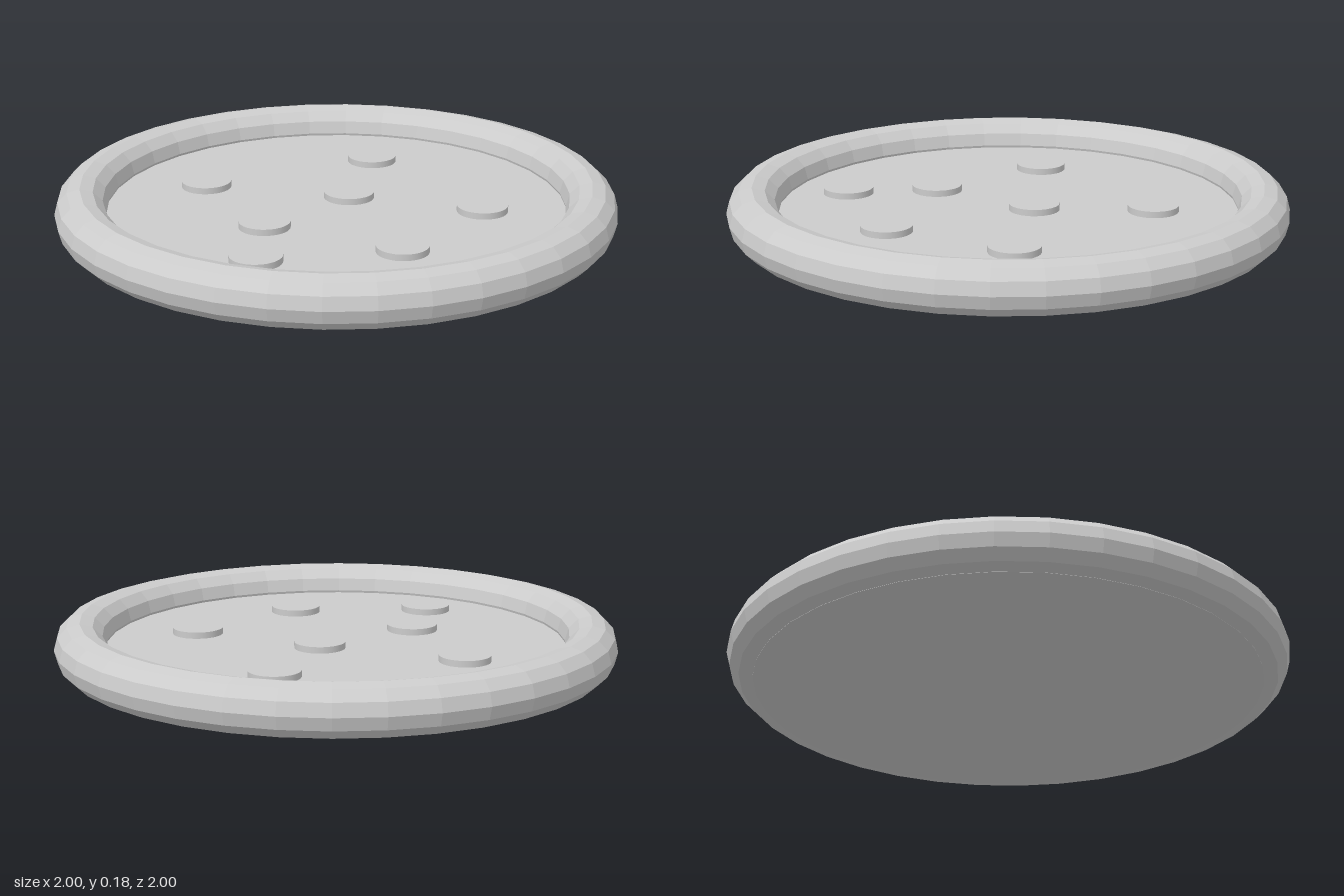
import * as THREE from 'three';

export function createModel() {
  const group = new THREE.Group();
  const faceted = new THREE.MeshStandardMaterial({ color: 0xcccccc, flatShading: true });
  const smooth = new THREE.MeshStandardMaterial({ color: 0xcccccc });

  const add = (name, geometry, material, x, y, z) => {
    const mesh = new THREE.Mesh(geometry, material);
    mesh.name = name;
    mesh.position.set(x, y, z);
    group.add(mesh);
    return mesh;
  };

  // Rounded, faceted rim
  const tube = 0.0915;
  const rim = new THREE.TorusGeometry(1 - tube, tube, 12, 36).rotateX(-Math.PI / 2);
  add('crustRim', rim, faceted, 0, tube, 0);

  // Flat filled base, sunk below the top of the rim
  const floorY = 0.083;
  add('base', new THREE.CylinderGeometry(0.905, 0.905, floorY, 36), smooth, 0, floorY / 2, 0);

  // Thin round slices scattered over the base
  const radius = 0.091, rise = 0.023, sunk = 0.02;
  const slice = new THREE.CylinderGeometry(radius, radius, rise + sunk, 32);
  const spots = [
    [-0.33, -0.4], [0.35, -0.38], [0.08, -0.055], [-0.325, 0.085],
    [-0.49, 0.365], [0.43, 0.295], [-0.015, 0.51],
  ];
  spots.forEach(([x, z], i) =>
    add(`toppingSlice${i + 1}`, slice, smooth, x, floorY + (rise - sunk) / 2, z));

  return group;
}
